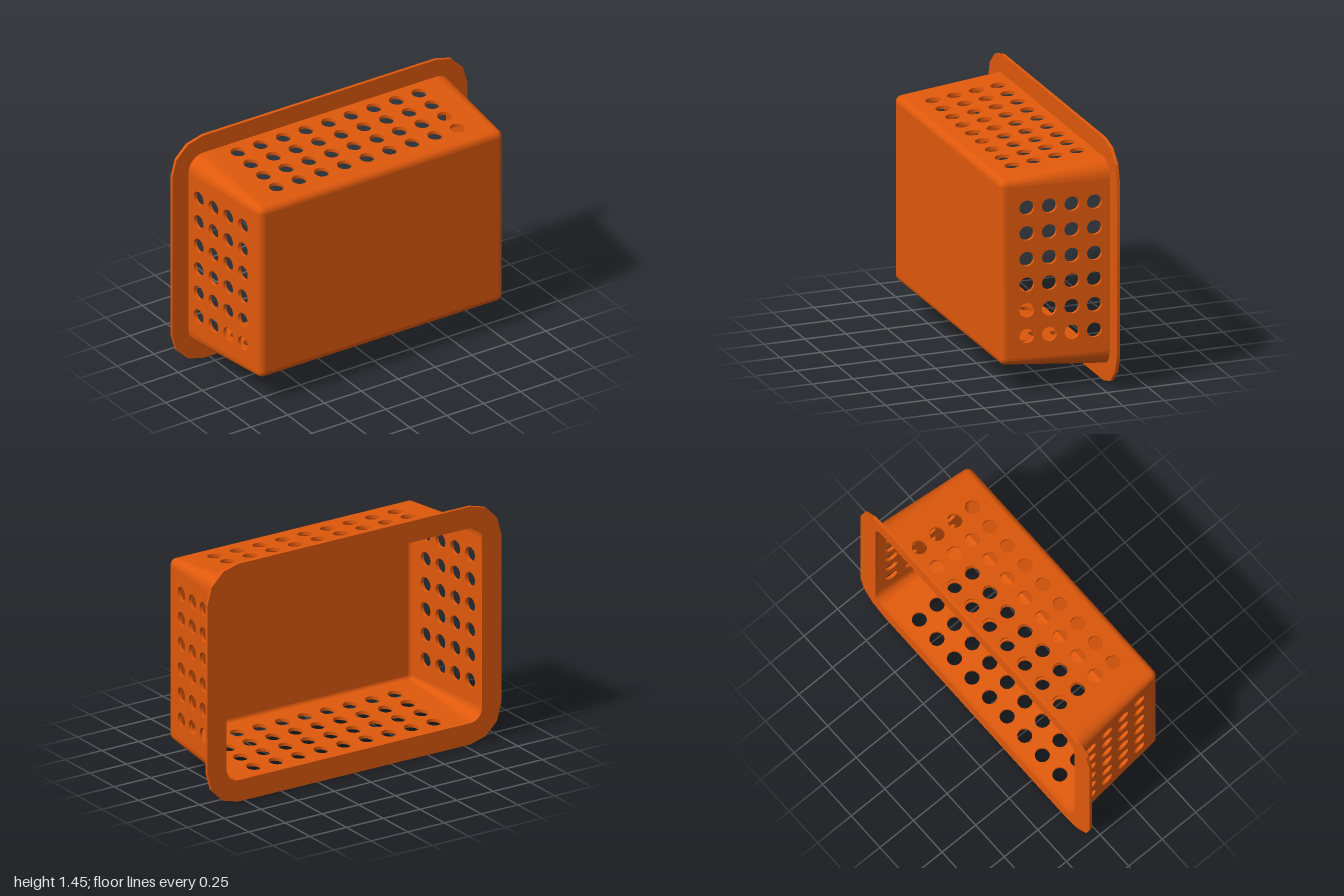
import * as THREE from 'three';
import { toCreasedNormals } from 'three/addons/utils/BufferGeometryUtils.js';

// Every section of the basket is one core rectangle, offset outward by a radius
const HX = 0.79, HY = 0.515, CY = 0.725;
const T = 0.02;                          // wall thickness
const BACK = -0.33, WALL = -0.31, BEND = 0.29, FRONT = 0.33;
const R_RIM = 0.21, R_BACK = 0.1, R_BEND = 0.04;
const CORNER_SEGMENTS = 8;

const material = new THREE.MeshStandardMaterial({ color: 0xe0590c });

// Outline of the core rectangle offset by r, with n facets per corner
function roundedOutline(r, n) {
  const points = [];
  for (let k = 0; k < 4; k++) {
    const sx = k === 0 || k === 3 ? 1 : -1, sy = k < 2 ? 1 : -1;
    for (let i = 0; i <= n; i++) {
      const a = (k + i / n) * Math.PI / 2;
      points.push(new THREE.Vector2(sx * HX + r * Math.cos(a), sy * HY + r * Math.sin(a)));
    }
  }
  return points;
}

// Quarter-round from the wall to the front face, as (offset, z)
function bendArc(r) {
  return Array.from({ length: 6 }, (_, i) => {
    const a = i / 5 * Math.PI / 2;
    return new THREE.Vector2(i === 5 ? 0 : r * Math.cos(a), BEND + r * Math.sin(a));
  });
}

function addMesh(parent, name, geometry, crease = 0.6) {
  const mesh = new THREE.Mesh(toCreasedNormals(geometry, crease), material);
  mesh.name = name;
  parent.add(mesh);
  return mesh;
}

// Flat leaning wall with a grid of round holes, outward along +y
function perforatedPanel(halfLength, halfWidth, columns) {
  const shape = new THREE.Shape([
    new THREE.Vector2(-halfLength, WALL), new THREE.Vector2(halfLength, WALL),
    new THREE.Vector2(halfLength, BEND), new THREE.Vector2(-halfLength, BEND),
  ]);
  for (let c = 0; c < columns; c++) {
    for (let row = 0; row < 4; row++) {
      const u = (c - (columns - 1) / 2) * 0.1535;
      shape.holes.push(new THREE.Path().absarc(u, 0.176 - row * 0.132, 0.0435, 0, Math.PI * 2, true));
    }
  }
  const geometry = new THREE.ExtrudeGeometry(shape, { depth: T, bevelEnabled: false, curveSegments: 8 });
  const p = geometry.attributes.position;
  for (let i = 0; i < p.count; i++) {
    const z = p.getY(i);
    const lean = THREE.MathUtils.mapLinear(z, WALL, BEND, R_BACK, R_BEND);
    p.setXYZ(i, -p.getX(i), halfWidth + lean - T + p.getZ(i), z);
  }
  return geometry;
}

// Straight rounded edge between a wall and the front face
function bendStrip(halfLength, halfWidth) {
  const shape = new THREE.Shape([...bendArc(R_BEND), ...bendArc(R_BEND - T).reverse()]);
  const geometry = new THREE.ExtrudeGeometry(shape, { depth: 2 * halfLength, bevelEnabled: false });
  geometry.translate(0, 0, -halfLength);
  geometry.applyMatrix4(new THREE.Matrix4().makeBasis(
    new THREE.Vector3(0, 1, 0), new THREE.Vector3(0, 0, 1), new THREE.Vector3(1, 0, 0)));
  return geometry.translate(0, halfWidth, 0);
}

export function createModel() {
  const model = new THREE.Group();
  model.name = 'basket';
  const body = new THREE.Group();
  body.name = 'body';
  body.position.y = CY;
  model.add(body);

  // Flat rim with coarse corners around the opening
  const rimShape = new THREE.Shape(roundedOutline(R_RIM, 3));
  rimShape.holes.push(new THREE.Path(roundedOutline(R_BACK - T, CORNER_SEGMENTS).reverse()));
  const rim = new THREE.ExtrudeGeometry(rimShape, { depth: WALL - BACK, bevelEnabled: false });
  addMesh(body, 'rim', rim.translate(0, 0, BACK), 0.4);

  // Closed front face
  const face = new THREE.BoxGeometry(2 * HX, 2 * HY, T);
  addMesh(body, 'frontFace', face.translate(0, 0, FRONT - T / 2));

  // Four walls with their rounded front edges
  ['topWall', 'rightWall', 'bottomWall', 'leftWall'].forEach((name, k) => {
    const [along, out, columns] = k % 2 ? [HY, HX, 6] : [HX, HY, 9];
    const wall = new THREE.Group();
    wall.name = name;
    wall.rotation.z = k * Math.PI / 2;
    addMesh(wall, 'perforatedPanel', perforatedPanel(along, out, columns));
    addMesh(wall, 'roundedEdge', bendStrip(along, out));
    body.add(wall);
  });

  // Tapered corners, outside and inside skins
  const outer = [new THREE.Vector2(R_BACK, WALL), ...bendArc(R_BEND)];
  const inner = [new THREE.Vector2(R_BACK - T, WALL), ...bendArc(R_BEND - T)].reverse();
  for (let k = 0; k < 4; k++) {
    const start = k * Math.PI / 2, mid = start + Math.PI / 4;
    const corner = new THREE.Group();
    corner.name = 'corner';
    corner.position.set(Math.sign(Math.sin(mid)) * HX, -Math.sign(Math.cos(mid)) * HY, 0);
    [['outerSkin', outer], ['innerSkin', inner]].forEach(([name, profile]) => {
      const skin = new THREE.LatheGeometry(profile, CORNER_SEGMENTS, start, Math.PI / 2);
      addMesh(corner, name, skin.rotateX(Math.PI / 2));
    });
    body.add(corner);
  }
  return model;
}
